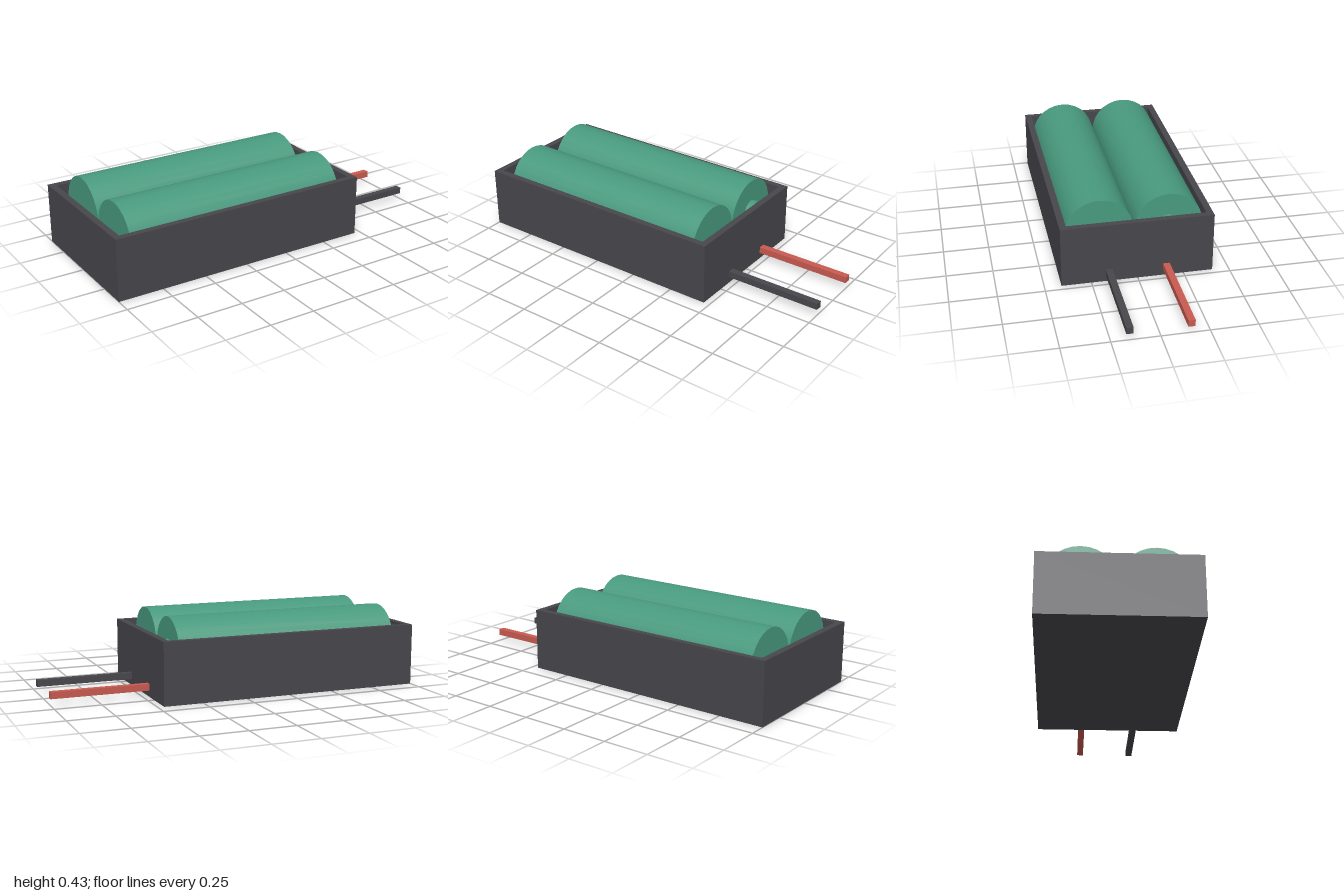
import * as THREE from 'three';

const CASE = { x0: -1, x1: 0.466, halfZ: 0.41, height: 0.337, wall: 0.036 };
const CELL = { x0: -0.9, x1: 0.366, z: 0.188, y: 0.247, radius: 0.185 };

export function createModel() {
  const model = new THREE.Group();
  model.name = 'batteryHolder';

  const casing = new THREE.MeshStandardMaterial({ name: 'charcoal plastic', color: 0x47464b });
  const green = new THREE.MeshStandardMaterial({ name: 'green wrap', color: 0x489a7e });
  const red = new THREE.MeshStandardMaterial({ name: 'red insulation', color: 0xc85a50 });

  const add = (name, geometry, material, x = 0, y = 0, z = 0) => {
    const mesh = new THREE.Mesh(geometry, material);
    mesh.name = name;
    mesh.position.set(x, y, z);
    model.add(mesh);
    return mesh;
  };

  // Cylinder lying along x from x0 to x1
  const rod = (name, radius, x0, x1, z) => {
    const geometry = new THREE.CylinderGeometry(radius, radius, x1 - x0, 28);
    geometry.rotateZ(-Math.PI / 2);
    add(name, geometry, green, (x0 + x1) / 2, CELL.y, z);
  };

  // Rectangle outline on the ground plane
  const rectangle = (Type, x0, x1, halfZ) => new Type([
    new THREE.Vector2(x0, -halfZ), new THREE.Vector2(x1, -halfZ),
    new THREE.Vector2(x1, halfZ), new THREE.Vector2(x0, halfZ),
  ]);

  // Open tray: a rectangular wall ring and a floor inside it
  const { x0, x1, halfZ, height, wall } = CASE;
  const outline = rectangle(THREE.Shape, x0, x1, halfZ);
  outline.holes.push(rectangle(THREE.Path, x0 + wall, x1 - wall, halfZ - wall));
  const walls = new THREE.ExtrudeGeometry(outline, { depth: height, bevelEnabled: false });
  walls.rotateX(-Math.PI / 2);
  add('trayWalls', walls, casing);
  add('trayFloor', new THREE.BoxGeometry(x1 - x0 - 2 * wall, wall, 2 * (halfZ - wall)),
    casing, (x0 + x1) / 2, wall / 2, 0);

  // Two cells side by side, with a terminal on the rear one
  rod('frontCell', CELL.radius, CELL.x0, CELL.x1, CELL.z);
  rod('rearCell', CELL.radius, CELL.x0, CELL.x1, -CELL.z);
  rod('rearCellTerminal', 0.064, CELL.x1, 0.402, -CELL.z);

  // Square leads leaving the end wall
  for (const [name, material, z] of [['darkLead', casing, 0.155], ['redLead', red, -0.155]]) {
    add(name, new THREE.BoxGeometry(1 - x1, 0.036, 0.036), material, (1 + x1) / 2, 0.053, z);
  }

  return model;
}
